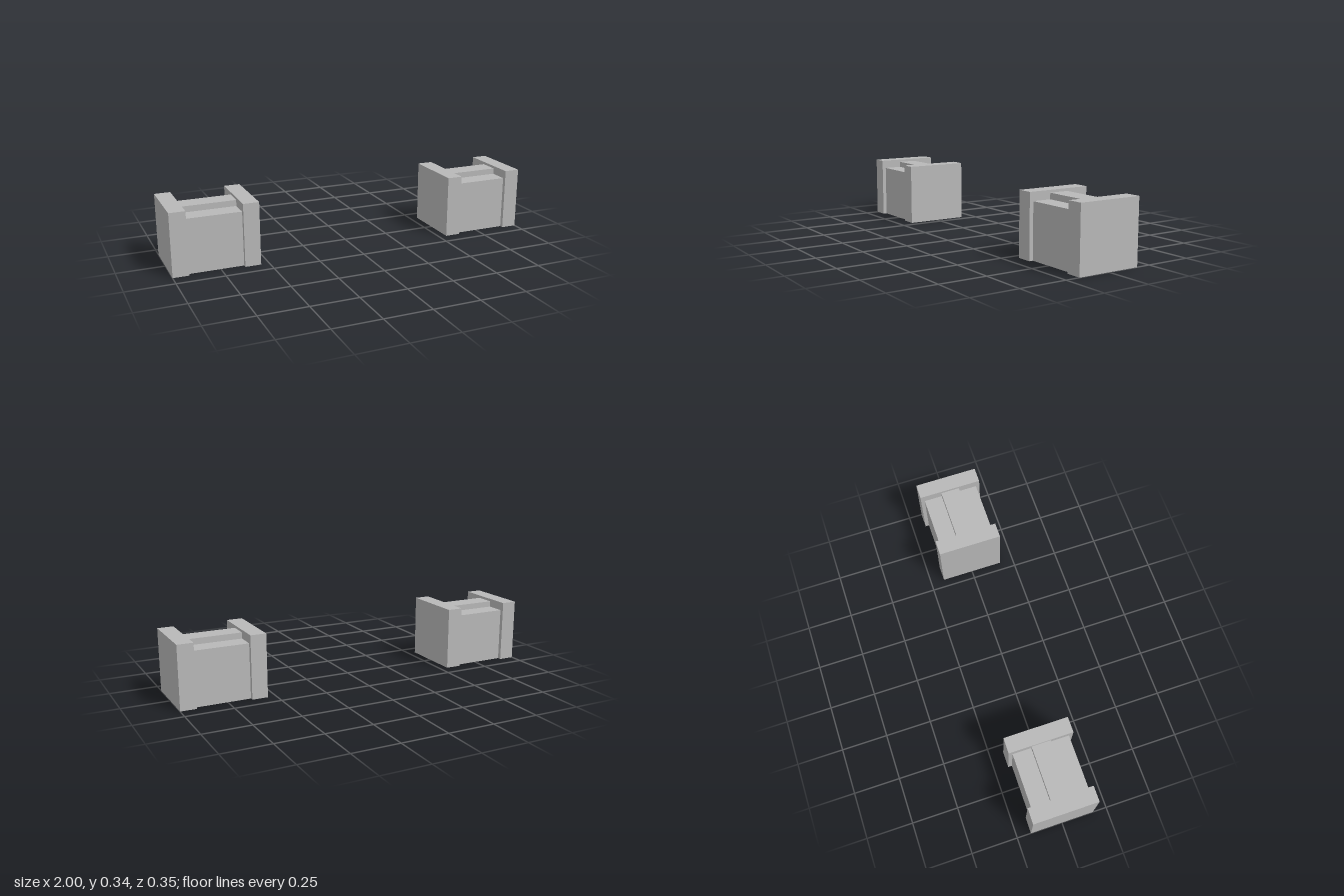
import * as THREE from 'three';

const stone = new THREE.MeshStandardMaterial({ color: 0xb8b8b8 });
stone.name = 'grey';

// Extrudes a z/y outline along x, centred on x = 0
function slab(name, outline, width, x) {
  const shape = new THREE.Shape(outline.map(([z, y]) => new THREE.Vector2(z, y)));
  const geometry = new THREE.ExtrudeGeometry(shape, { depth: width, bevelEnabled: false });
  geometry.translate(0, 0, -width / 2);
  geometry.rotateY(Math.PI / 2);
  const mesh = new THREE.Mesh(geometry, stone);
  mesh.name = name;
  mesh.position.x = x;
  return mesh;
}

// One pedestal: a stepped core held between two taller end panels
function createPedestal(name, x) {
  const group = new THREE.Group();
  group.name = name;
  group.position.x = x;

  const core = [
    [-0.153, 0], [0.153, 0], [0.153, 0.29], [0.052, 0.29],
    [0.052, 0.322], [-0.052, 0.322], [-0.052, 0.29], [-0.153, 0.29],
  ];
  group.add(slab('steppedCore', core, 0.288, 0));

  const panel = [[-0.174, 0], [0.174, 0], [0.174, 0.336], [-0.174, 0.336]];
  for (const side of [-1, 1]) {
    group.add(slab(side > 0 ? 'leftEndPanel' : 'rightEndPanel', panel, 0.084, side * 0.186));
  }
  return group;
}

export function createModel() {
  const model = new THREE.Group();
  model.name = 'pedestalPair';
  model.add(createPedestal('leftPedestal', 0.772), createPedestal('rightPedestal', -0.772));
  return model;
}
